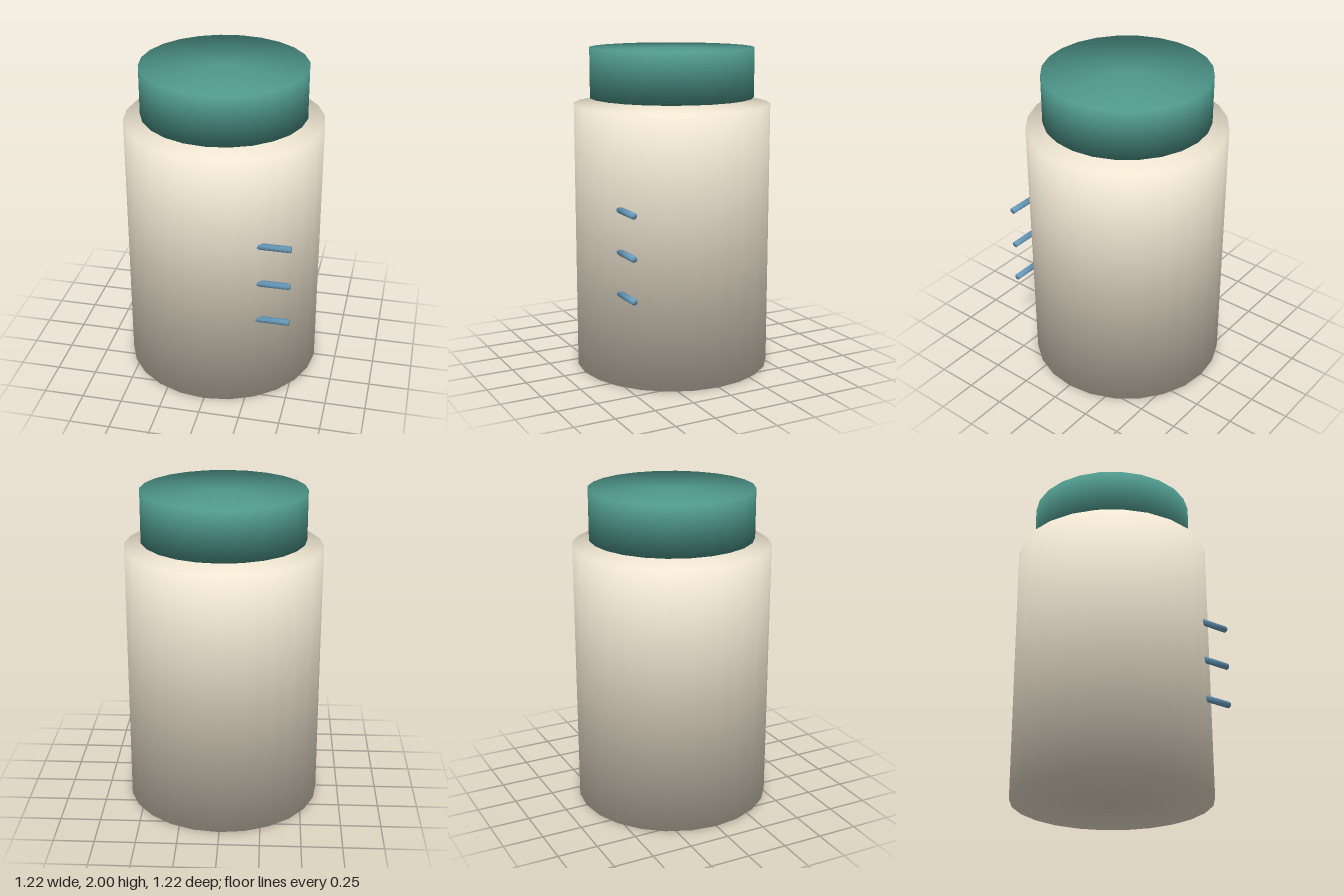
import * as THREE from 'three';
import { mergeVertices } from 'three/addons/utils/BufferGeometryUtils.js';

// Closed cylinder with one soft normal per vertex, shared by side and caps
function softCylinder(radius, height, sides, thetaStart = 0) {
  let geo = new THREE.CylinderGeometry(radius, radius, height, sides, 1, false, thetaStart);
  geo.deleteAttribute('uv');
  geo.deleteAttribute('normal');
  geo = mergeVertices(geo, 1e-4);
  const pos = geo.attributes.position;
  const normals = new Float32Array(pos.count * 3);
  const n = new THREE.Vector3();
  for (let i = 0; i < pos.count; i++) {
    n.set(pos.getX(i) / radius * 1.07, Math.sign(pos.getY(i)), pos.getZ(i) / radius * 1.07);
    n.normalize().toArray(normals, i * 3);
  }
  geo.setAttribute('normal', new THREE.BufferAttribute(normals, 3));
  return geo;
}

function part(name, geometry, color, x, y, z) {
  const mesh = new THREE.Mesh(geometry, new THREE.MeshStandardMaterial({ color }));
  mesh.name = name;
  mesh.position.set(x, y, z);
  return mesh;
}

export function createModel() {
  const model = new THREE.Group();
  model.name = 'jar';

  // Body, with the lid floating just above it
  const bodyHeight = 1.657, lidHeight = 0.305;
  model.add(part('body', softCylinder(0.61, bodyHeight, 24), 0xf0e6d2, 0, bodyHeight / 2, 0));
  model.add(part('lid', softCylinder(0.508, lidHeight, 24), 0x4f988c, 0, 2 - lidHeight / 2, 0));

  // Three level marks sticking out of the front left of the body
  const marks = new THREE.Group();
  marks.name = 'levelMarks';
  const start = 0.2, end = 0.507;
  const markGeo = softCylinder(0.02, end - start, 8, Math.PI / 8).rotateZ(Math.PI / 2);
  [0.578, 0.833, 1.087].forEach((y, i) => {
    marks.add(part(`levelMark${i + 1}`, markGeo, 0x6a9fc0, (start + end) / 2, y, 0.508));
  });
  model.add(marks);

  return model;
}
